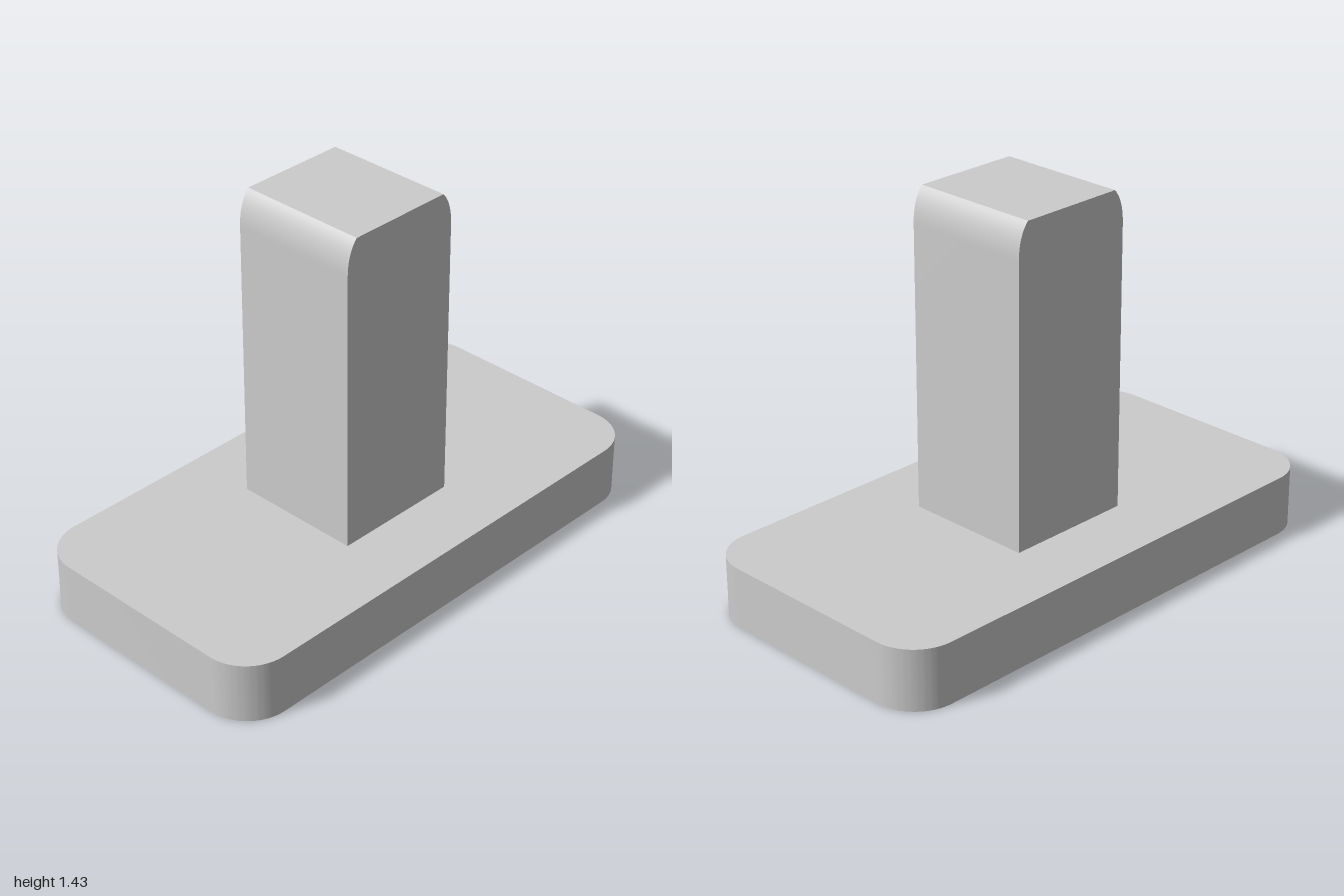
import * as THREE from 'three';
import { toCreasedNormals } from 'three/addons/utils/BufferGeometryUtils.js';

const BASE_W = 1.04, BASE_L = 2, BASE_H = 0.23, CORNER = 0.17;
const POST = 0.5, TOP = 1.43, SOCKET = 0.37, CEILING = 1.36;

// Remove the horizontal faces lying at height y, leaving the underside open
function openAt(geometry, y) {
  const src = geometry.index ? geometry.toNonIndexed() : geometry;
  const p = src.attributes.position;
  const kept = [];
  for (let i = 0; i < p.count; i += 3) {
    const flat = [0, 1, 2].every((k) => Math.abs(p.getY(i + k) - y) < 1e-4);
    if (!flat) for (let k = 0; k < 3; k++) kept.push(p.getX(i + k), p.getY(i + k), p.getZ(i + k));
  }
  const out = new THREE.BufferGeometry();
  out.setAttribute('position', new THREE.Float32BufferAttribute(kept, 3));
  return toCreasedNormals(out, 0.5);
}

// Rounded rectangular plate with a square through-hole
function baseGeometry() {
  const w = BASE_W / 2, l = BASE_L / 2, r = CORNER, h = SOCKET / 2;
  const shape = new THREE.Shape();
  shape.absarc(w - r, l - r, r, 0, Math.PI / 2);
  shape.absarc(-w + r, l - r, r, Math.PI / 2, Math.PI);
  shape.absarc(-w + r, -l + r, r, Math.PI, Math.PI * 1.5);
  shape.absarc(w - r, -l + r, r, Math.PI * 1.5, Math.PI * 2);
  shape.holes.push(new THREE.Path([[-h, -h], [-h, h], [h, h], [h, -h]].map(([x, y]) => new THREE.Vector2(x, y))));
  const g = new THREE.ExtrudeGeometry(shape, { depth: BASE_H, bevelEnabled: false, curveSegments: 16 });
  g.rotateX(-Math.PI / 2);
  return toCreasedNormals(g, 0.5);
}

// Square post whose front and back faces curve inward at the top
function postGeometry() {
  const h = POST / 2, flatTop = 0.208, bend = 1.3;
  const shape = new THREE.Shape();
  shape.moveTo(-h, BASE_H);
  shape.lineTo(h, BASE_H);
  shape.lineTo(h, bend);
  shape.quadraticCurveTo(h, 1.385, flatTop, TOP);
  shape.lineTo(-flatTop, TOP);
  shape.quadraticCurveTo(-h, 1.385, -h, bend);
  const g = new THREE.ExtrudeGeometry(shape, { depth: POST, bevelEnabled: false, curveSegments: 12 });
  g.translate(0, 0, -h);
  g.rotateY(Math.PI / 2);
  return openAt(g, BASE_H);
}

// Hollow inside the post, continuing the hole in the base
function socketGeometry() {
  const g = new THREE.BoxGeometry(SOCKET, CEILING - BASE_H, SOCKET);
  g.translate(0, (CEILING + BASE_H) / 2, 0);
  return openAt(g, BASE_H);
}

export function createModel() {
  const model = new THREE.Group();
  model.name = 'postOnBase';
  const add = (name, geometry, side = THREE.FrontSide) => {
    const mesh = new THREE.Mesh(geometry, new THREE.MeshStandardMaterial({ color: 0xcccccc, side }));
    mesh.name = name;
    model.add(mesh);
  };
  add('base', baseGeometry());
  add('post', postGeometry());
  add('postSocket', socketGeometry(), THREE.BackSide);
  return model;
}
